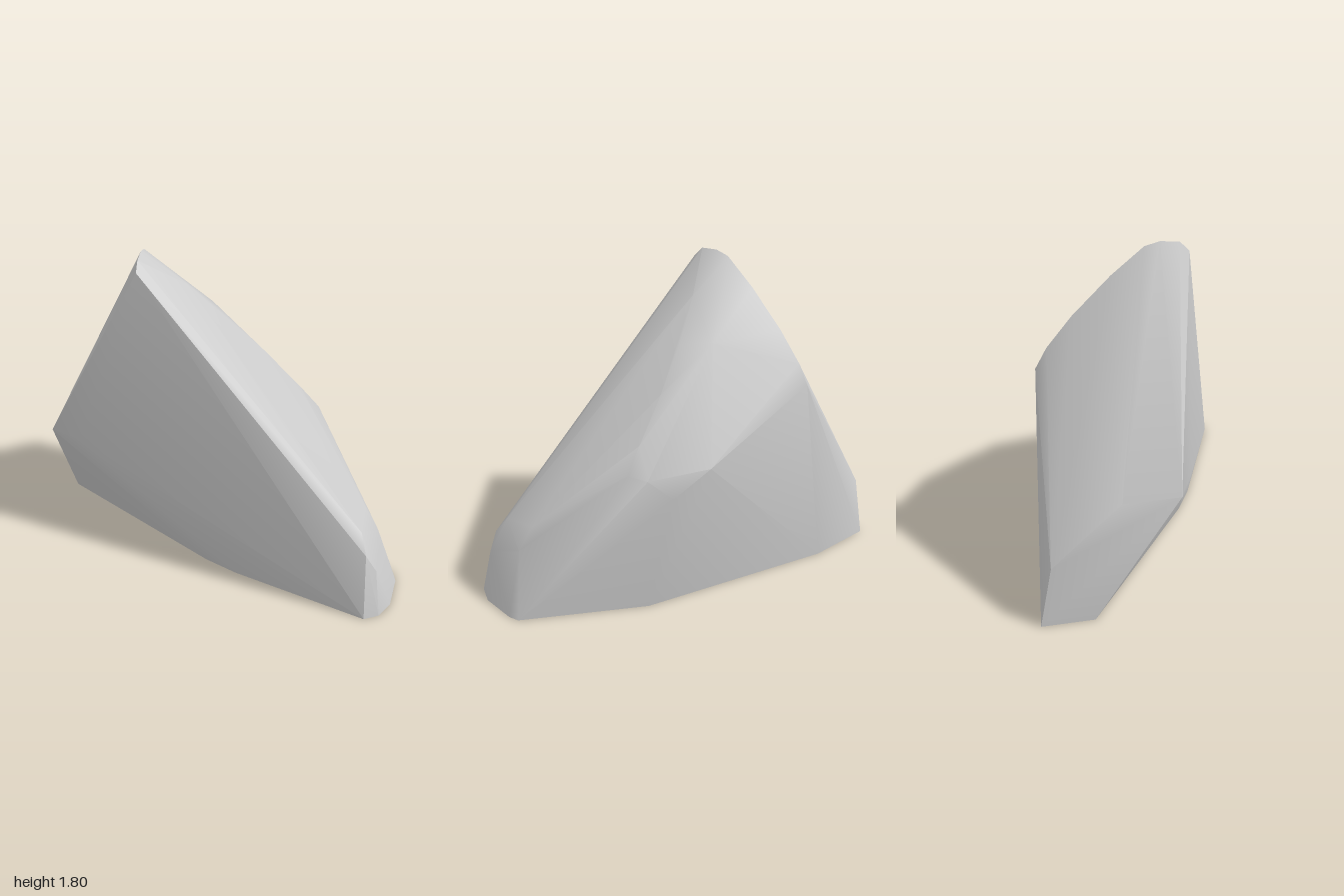
import * as THREE from 'three';
import { ConvexGeometry } from 'three/addons/geometries/ConvexGeometry.js';
import { toCreasedNormals } from 'three/addons/utils/BufferGeometryUtils.js';

const V = (x, y, z) => new THREE.Vector3(x, y, z);

export function createModel() {
  const group = new THREE.Group();
  group.name = 'rock';

  // Flat base outline (x, z)
  const base = [
    [-1, -0.68], [-0.62, -0.62], [0.43, -0.19], [0.99, 0.27], [1, 0.33], [0.97, 0.54],
    [0.91, 0.64], [0.83, 0.68], [0.1, 0.37], [-0.08, 0.27], [-1, -0.4],
  ].map(([x, z]) => V(x, 0, z));

  // Rounded arch where the slanted end cut meets the body (y, z)
  const arch = [
    [1.74, 0.2], [1.79, 0.15], [1.8, 0.05], [1.78, -0.03], [1.64, -0.2],
    [1.44, -0.4], [1.28, -0.53], [1.17, -0.59],
  ].map(([y, z]) => V(-0.44, y, z));

  // Upright cut end (y, z)
  const end = [[0.67, 0.04], [0.67, -0.26], [0.34, -0.62]].map(([y, z]) => V(-1, y, z));

  // Long sloping crest, back shoulder and blunt nose (x, y, z)
  const body = [
    [-0.82, 0.67, 0.13],
    [-0.2, 1.61, 0.02], [0, 1.4, -0.05], [0.2, 1.19, -0.09], [0.4, 0.97, -0.11], [0.51, 0.84, -0.12],
    [-0.1, 1.42, -0.2], [0.46, 0.82, -0.22], [0.18, 0.85, -0.42], [0.37, 0.71, -0.32],
    [0.8, 0.49, 0.32], [0.79, 0.46, 0.53], [0.88, 0.36, 0.35], [0.82, 0.36, 0.6], [0.88, 0.26, 0.59],
  ].map((p) => V(...p));

  const hull = new ConvexGeometry([...base, ...arch, ...end, ...body]);
  const stone = new THREE.Mesh(
    toCreasedNormals(hull, THREE.MathUtils.degToRad(30)),
    new THREE.MeshStandardMaterial({ color: 0xcccccc }),
  );
  stone.name = 'stone';
  group.add(stone);
  return group;
}
